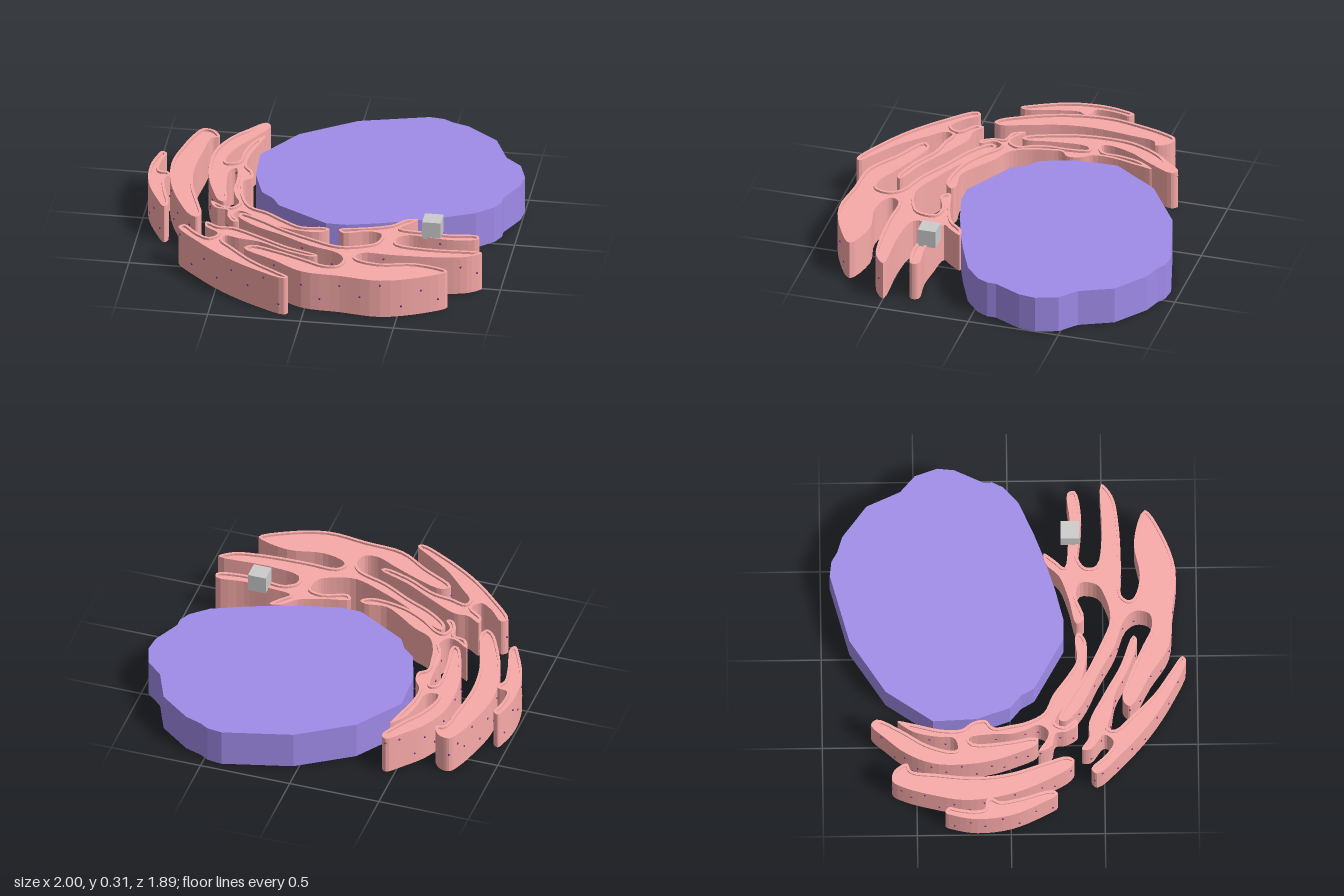
import * as THREE from 'three';

const HEIGHT = 0.22, RECESS = 0.012, RIM = 0.015;

// Footprints as x, z pairs in hundredths of a unit, seen from above
const NUCLEUS = [-43,-41, -26,-66, 3,-85, 40,-95, 48,-94, 53,-91, 62,-88, 79,-75, 87,-57, 96,-49, 100,-37,
  99,-28, 92,-13, 92,-8, 89,-2, 80,6, 62,14, 49,19, 30,25, 14,29, 3,29, -25,13, -29,6, -36,0, -42,-18];

const FOLDS = {
  outerLeftFold: [-95,-35, -92,-33, -93,-28, -94,-20, -93,-14, -88,-13, -87,-10, -89,-6, -87,6, -83,22,
    -85,25, -90,17, -97,0, -99,-18, -97,-30],
  wideLeftFold: [-77,-63, -71,-62, -67,-55, -71,-53, -73,-40, -75,-18, -73,0, -67,19, -64,30, -66,34,
    -70,32, -77,20, -83,6, -87,-10, -88,-26, -85,-42, -81,-56],
  innerBranchedFold: [-45,-74, -42,-71, -48,-58, -56,-45, -60,-32, -59,-28, -53,-30, -52,-40, -49,-52,
    -43,-60, -45,-50, -48,-37, -48,-26, -44,-20, -43,-13, -47,-9, -46,0, -44,9, -39,18, -29,23, -18,31,
    -9,36, 3,35, 6,37, 1,41, -18,39, -32,32, -41,25, -45,24, -47,29, -43,35, -46,36, -50,30, -51,24,
    -58,22, -61,15, -53,20, -49,20, -46,15, -49,8, -51,0, -51,-10, -53,-22, -56,-20, -55,0, -53,12,
    -54,15, -57,14, -62,3, -66,-10, -68,-26, -67,-42, -61,-56, -53,-66],
  frontBranchedFold: [-43,26, -32,31, -18,40, -2,48, 14,54, 27,51, 33,47, 34,38, 27,36, 14,40, 11,36, 25,32,
    38,27, 45,20, 51,19, 47,25, 43,30, 57,32, 70,33, 85,32, 86,36, 73,39, 59,38, 49,37, 43,41, 44,47,
    62,50, 90,50, 83,56, 67,59, 43,60, 27,60, 24,64, 26,67, 38,70, 57,67, 75,73, 62,82, 41,89, 19,87,
    -2,85, -18,75, -36,64, -32,60, -18,64, -2,71, 9,76, 16,75, 18,68, 14,62, -2,56, -18,47, -34,39, -44,30],
  outerFrontFold: [-60,38, -53,42, -45,42, -29,50, -13,59, 4,66, 2,68, -13,64, -29,56, -40,54, -48,52,
    -49,56, -42,64, -29,77, -16,86, -8,92, -10,94, -26,87, -45,75, -61,61, -74,46, -71,43, -63,51,
    -56,55, -52,50, -60,43],
};

const toPoints = (flat) => Array.from({ length: flat.length / 2 },
  (_, i) => new THREE.Vector2(flat[2 * i] / 100, -flat[2 * i + 1] / 100));

// Smooth closed outline, always anticlockwise
function smoothOutline(flat) {
  const curve = new THREE.CatmullRomCurve3(
    toPoints(flat).map((p) => new THREE.Vector3(p.x, p.y, 0)), true, 'centripetal');
  const n = flat.length * 2;
  const pts = Array.from({ length: n }, (_, i) => {
    const p = curve.getPoint(i / n);
    return new THREE.Vector2(p.x, p.y);
  });
  return THREE.ShapeUtils.isClockWise(pts) ? pts.reverse() : pts;
}

// Outward direction at one outline point
function outward(pts, i) {
  const n = pts.length;
  const t = pts[(i + 1) % n].clone().sub(pts[(i + n - 1) % n]).normalize();
  return new THREE.Vector2(t.y, -t.x);
}

// Inner edge of the rim, dropping points crowded out at the tips
function inset(pts, d) {
  return pts.map((p, i) => p.clone().addScaledVector(outward(pts, i), -d))
    .filter((q) => pts.every((p) => p.distanceTo(q) > d * 0.85));
}

// Upright slab standing from y0 to y1 over a footprint
function slab(name, pts, y0, y1, material, hole) {
  const shape = new THREE.Shape(pts);
  if (hole) shape.holes.push(new THREE.Path(hole));
  const geometry = new THREE.ExtrudeGeometry(shape, { depth: y1 - y0, bevelEnabled: false });
  geometry.rotateX(-Math.PI / 2).translate(0, y0, 0);
  const mesh = new THREE.Mesh(geometry, material);
  mesh.name = name;
  return mesh;
}

export function createModel() {
  const model = new THREE.Group();
  model.name = 'cellMembranes';
  const pink = new THREE.MeshStandardMaterial({ color: 0xf8aaa8 });
  const violet = new THREE.MeshStandardMaterial({ color: 0xa08be9 });
  const purple = new THREE.MeshStandardMaterial({ color: 0x7a1a8a });
  const grey = new THREE.MeshStandardMaterial({ color: 0xcccccc });

  model.add(slab('nucleus', toPoints(NUCLEUS), 0, 0.21, violet));

  const centre = new THREE.Vector2(0.28, 0.33);
  const beadGeometry = new THREE.SphereGeometry(0.006, 8, 6);
  const levels = [0.07, 0.16, 0.11, 0.19, 0.06, 0.14];
  let count = 0;

  for (const [name, flat] of Object.entries(FOLDS)) {
    const fold = new THREE.Group();
    fold.name = name;
    const pts = smoothOutline(flat);
    // Body with a raised rim around its top
    fold.add(slab('foldBody', pts, 0, HEIGHT - RECESS, pink));
    fold.add(slab('foldRim', pts, HEIGHT - RECESS, HEIGHT, pink, inset(pts, RIM)));

    // Beads dotted along the walls that face away from the nucleus
    let travelled = 0;
    pts.forEach((p, i) => {
      travelled += p.distanceTo(pts[(i + 1) % pts.length]);
      const away = p.clone().sub(centre);
      if (travelled < 0.065 || away.length() < 0.8 || outward(pts, i).dot(away.normalize()) < 0.4) return;
      travelled = 0;
      const bead = new THREE.Mesh(beadGeometry, purple);
      bead.name = 'bead';
      bead.position.set(p.x, levels[count++ % levels.length], -p.y);
      fold.add(bead);
    });
    model.add(fold);
  }

  // Small block resting on the front fold
  const block = new THREE.Mesh(new THREE.BoxGeometry(0.1, 0.1, 0.1), grey);
  block.name = 'block';
  block.position.set(0.61, 0.26, 0.33);
  model.add(block);
  return model;
}
